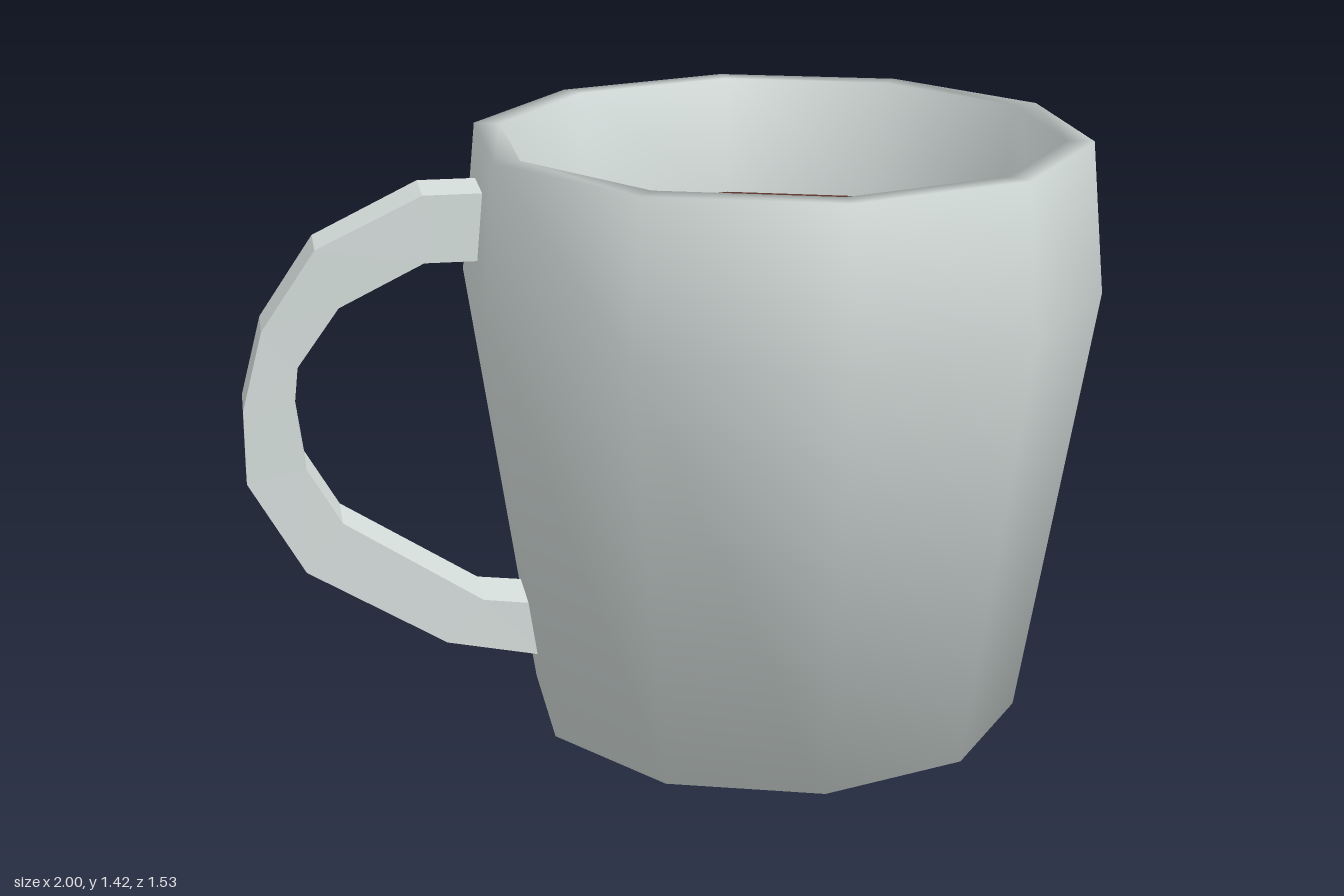
import * as THREE from 'three';

const porcelain = new THREE.MeshStandardMaterial({ color: 0xd6dfdd });
porcelain.name = 'porcelain';
const porcelainFlat = porcelain.clone();
porcelainFlat.name = 'porcelain faceted';
porcelainFlat.flatShading = true;
const coffeeBrown = new THREE.MeshStandardMaterial({ color: 0x5c352d });
coffeeBrown.name = 'coffee brown';

const SIDES = 10;
const CENTRE_X = 0.272;

// Rectangular bar swept through [outer x, outer y, inner x, inner y, half width]
function sweepBar(stations, zMid) {
  const pos = [], index = [];
  for (const [xo, yo, xi, yi, w] of stations) {
    pos.push(xo, yo, zMid + w, xo, yo, zMid - w, xi, yi, zMid - w, xi, yi, zMid + w);
  }
  for (let i = 0; i < stations.length - 1; i++) {
    for (let k = 0; k < 4; k++) {
      const a = i * 4 + k, b = i * 4 + (k + 1) % 4;
      index.push(a, b, b + 4, a, b + 4, a + 4);
    }
  }
  // End caps
  const e = (stations.length - 1) * 4;
  index.push(0, 2, 1, 0, 3, 2, e, e + 1, e + 2, e, e + 2, e + 3);
  const geo = new THREE.BufferGeometry();
  geo.setAttribute('position', new THREE.Float32BufferAttribute(pos, 3));
  geo.setIndex(index);
  const flat = geo.toNonIndexed();
  flat.computeVertexNormals();
  return flat;
}

export function createModel() {
  const model = new THREE.Group();
  model.name = 'mug';

  // Ten-sided cup: base, outer wall, rim, inner wall and floor in one profile
  const profile = [
    [0, 0], [0.6, 0], [0.765, 1.06], [0.73, 1.42],
    [0.667, 1.42], [0.63, 1.12], [0.53, 0.1], [0, 0.1],
  ].map(([r, y]) => new THREE.Vector2(r, y));
  const cup = new THREE.Mesh(new THREE.LatheGeometry(profile, SIDES), porcelain);
  cup.name = 'cup';
  cup.position.x = CENTRE_X;
  model.add(cup);

  // Coffee surface, one corner pointing to the front like the cup
  const coffee = new THREE.Mesh(new THREE.CircleGeometry(0.631, SIDES, Math.PI / 2), coffeeBrown);
  coffee.name = 'coffee';
  coffee.rotation.x = -Math.PI / 2;
  coffee.position.set(CENTRE_X, 1.13, 0);
  model.add(coffee);

  // Faceted handle, slightly narrower at its outer bend
  const handle = new THREE.Mesh(sweepBar([
    [-0.42, 1.31, -0.42, 1.15, 0.08],
    [-0.57, 1.31, -0.57, 1.15, 0.08],
    [-0.82, 1.19, -0.77, 1.05, 0.074],
    [-0.95, 1.0, -0.87, 0.91, 0.07],
    [-1.0, 0.81, -0.88, 0.82, 0.069],
    [-1.0, 0.63, -0.86, 0.66, 0.069],
    [-0.87, 0.4, -0.78, 0.52, 0.071],
    [-0.54, 0.2, -0.45, 0.305, 0.078],
    [-0.3, 0.15, -0.3, 0.285, 0.08],
  ], -0.04), porcelainFlat);
  handle.name = 'handle';
  model.add(handle);

  return model;
}
